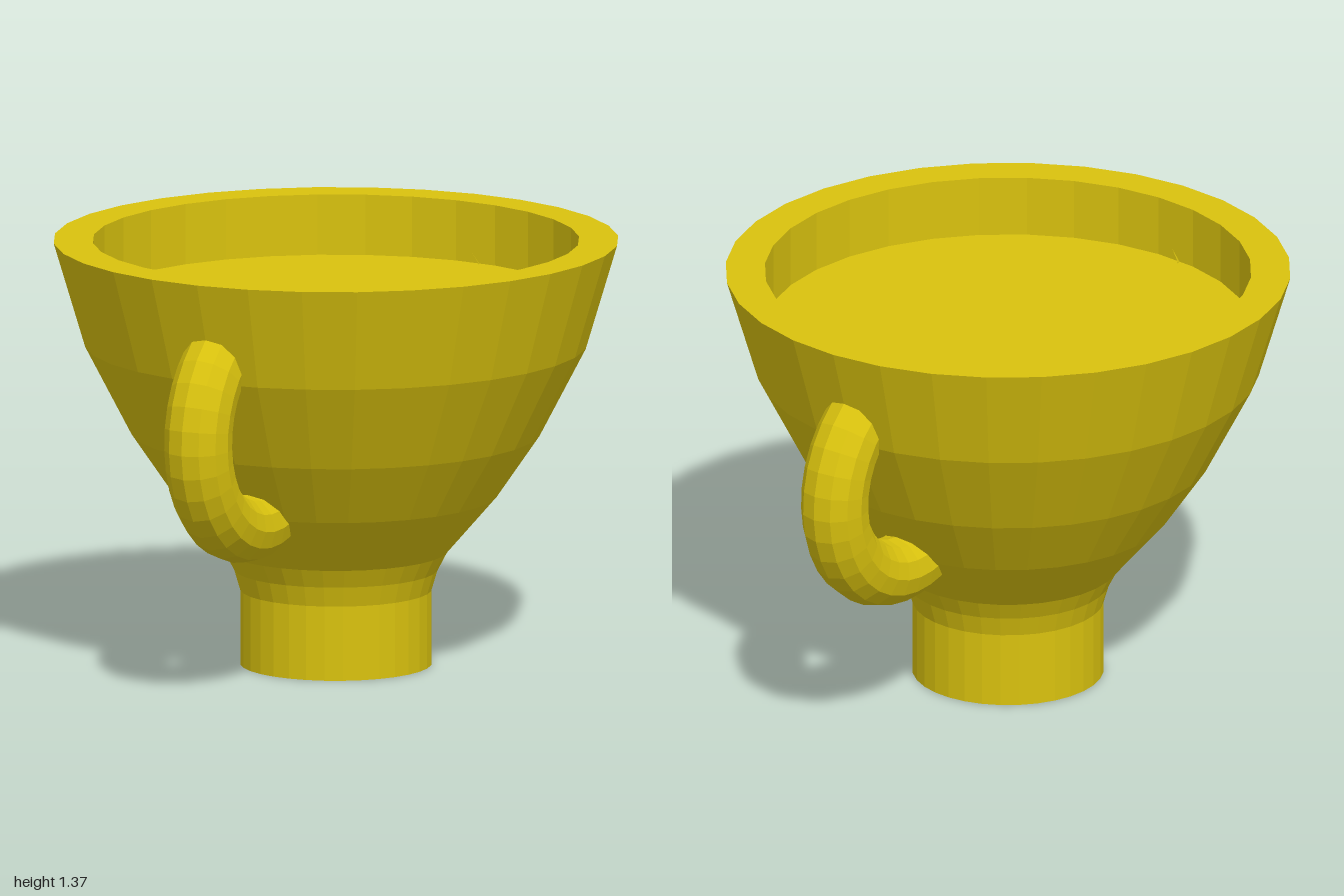
import * as THREE from 'three';

export function createModel() {
  const model = new THREE.Group();
  const material = new THREE.MeshStandardMaterial({ color: 0xd9c20e, flatShading: true });

  // Solid cup on a short foot, with a shallow recess inside the rim
  const profile = [
    [0, 0], [0.305, 0], [0.305, 0.24], [0.324, 0.305], [0.355, 0.365],
    [0.515, 0.55], [0.652, 0.75], [0.8, 1.035], [0.9, 1.37],
    [0.775, 1.37], [0.775, 1.175], [0, 1.175],
  ].map(([r, y]) => new THREE.Vector2(r, y));
  const cup = new THREE.Mesh(new THREE.LatheGeometry(profile, 32), material);
  cup.name = 'cup';
  model.add(cup);

  // Curved handle whose ends are buried in the cup wall
  const start = THREE.MathUtils.degToRad(-130);
  const sweep = THREE.MathUtils.degToRad(191);
  const handleGeometry = new THREE.TorusGeometry(0.322, 0.108, 12, 18, sweep)
    .rotateZ(start)
    .rotateY(-Math.PI / 2)
    .translate(0, 0.853, 0.57);

  // One handle at the front, one at the back
  ['frontHandle', 'backHandle'].forEach((name, i) => {
    const handle = new THREE.Mesh(handleGeometry, material);
    handle.name = name;
    handle.rotation.y = i * Math.PI;
    model.add(handle);
  });

  return model;
}
